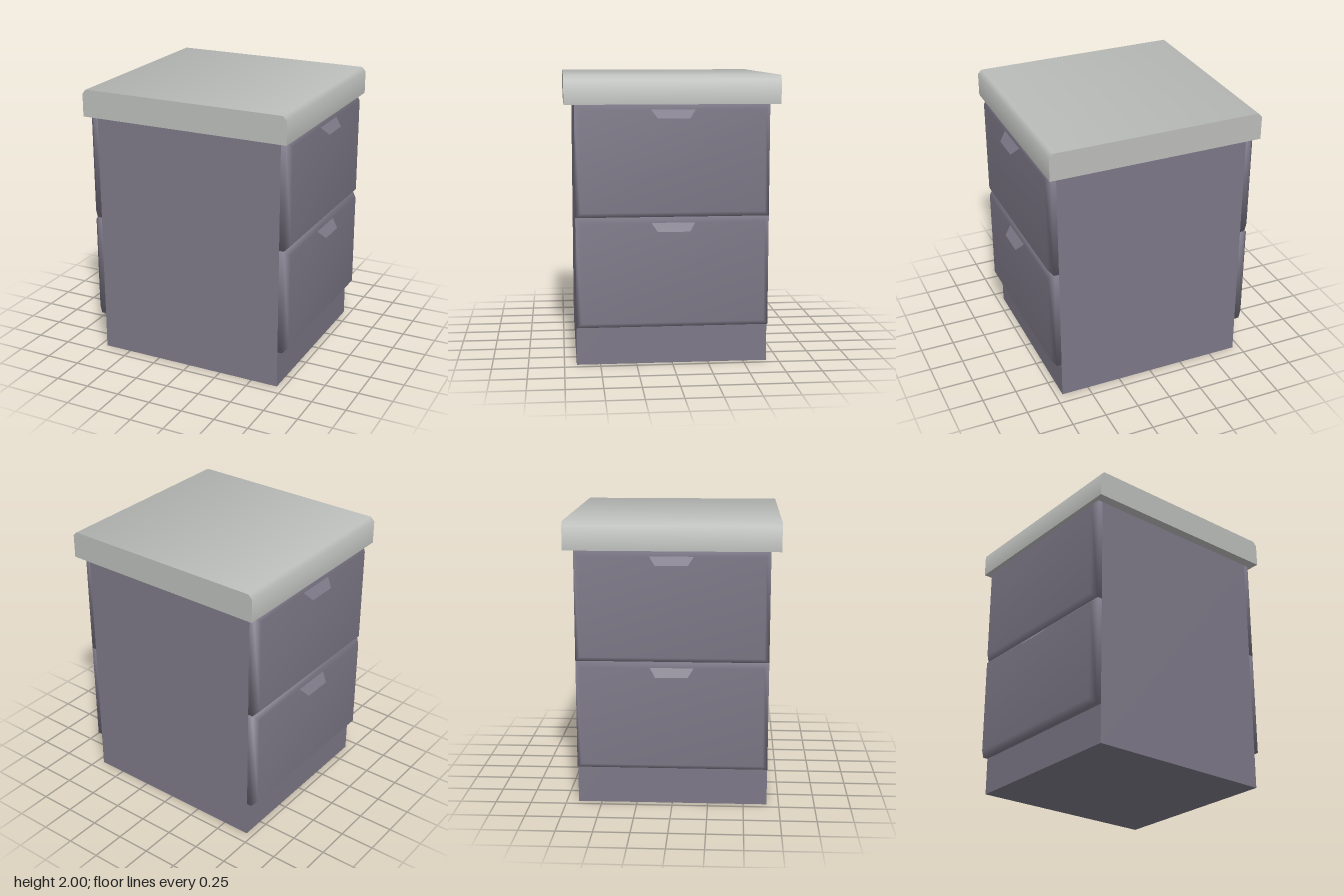
import * as THREE from 'three';

const cabinetPaint = new THREE.MeshStandardMaterial({ color: 0x7c7786 });
cabinetPaint.name = 'cabinetPaint';
const worktopGrey = new THREE.MeshStandardMaterial({ color: 0xbbbdba });
worktopGrey.name = 'worktopGrey';

function makeMesh(name, geometry, material) {
  const mesh = new THREE.Mesh(geometry, material);
  mesh.name = name;
  return mesh;
}

function makeGeometry(positions, index, normals) {
  const geo = new THREE.BufferGeometry();
  geo.setAttribute('position', new THREE.Float32BufferAttribute(positions, 3));
  geo.setIndex(index);
  if (normals) geo.setAttribute('normal', new THREE.Float32BufferAttribute(normals, 3));
  else geo.computeVertexNormals();
  return geo;
}

// Drawer front facing +x: three rectangular rings, softly shaded over the bevel
function drawerGeometry(y0, y1) {
  const bevel = 0.035, halfZ = 0.665;
  const positions = [], index = [];
  for (const [x, inset] of [[0.7, 0], [0.735, 0], [0.77, bevel]]) {
    const z = halfZ - inset, lo = y0 + inset, hi = y1 - inset;
    positions.push(x, lo, z, x, lo, -z, x, hi, -z, x, hi, z);
  }
  for (let ring = 0; ring < 2; ring++) {
    for (let i = 0; i < 4; i++) {
      const a = ring * 4 + i, b = ring * 4 + (i + 1) % 4;
      index.push(a, b, b + 4, a, b + 4, a + 4);
    }
  }
  index.push(8, 9, 10, 8, 10, 11);
  return makeGeometry(positions, index);
}

// Sloping finger pull: one thin face leaning out from the drawer
function pullGeometry(top) {
  const x0 = 0.77, x1 = 0.822, low = top - 0.055;
  return makeGeometry(
    [x0, top, 0.15, x1, low, 0.11, x1, low, -0.11, x0, top, -0.15],
    [0, 1, 2, 0, 2, 3]);
}

// Worktop: rounded-looking upper edges, flat ends and underside
function buildWorktop() {
  const group = new THREE.Group();
  group.name = 'worktop';
  const z = 0.735;
  const right = [[0.77, 1.805, 0], [0.77, 1.97, 22.5], [0.742, 2, 67.5]];
  const profile = [...right, ...right.map(([x, y, a]) => [-x, y, 180 - a]).reverse()];
  const positions = [], normals = [], index = [];
  profile.forEach(([x, y, degrees], i) => {
    const a = THREE.MathUtils.degToRad(degrees);
    for (const side of [z, -z]) {
      positions.push(x, y, side);
      normals.push(Math.cos(a), Math.sin(a), 0);
    }
    if (i > 0) {
      const p = (i - 1) * 2;
      index.push(p, p + 1, p + 3, p, p + 3, p + 2);
    }
  });
  group.add(makeMesh('worktopSurface', makeGeometry(positions, index, normals), worktopGrey));

  const endShape = new THREE.Shape(profile.map(([x, y]) => new THREE.Vector2(x, y)));
  for (const s of [1, -1]) {
    const end = makeMesh(s > 0 ? 'worktopFrontEnd' : 'worktopBackEnd',
      new THREE.ShapeGeometry(endShape), worktopGrey);
    end.position.z = s * z;
    if (s < 0) end.rotation.y = Math.PI;
    group.add(end);
  }
  const underside = makeMesh('worktopUnderside', new THREE.PlaneGeometry(1.54, z * 2), worktopGrey);
  underside.rotation.x = Math.PI / 2;
  underside.position.y = 1.805;
  group.add(underside);
  return group;
}

export function createModel() {
  const model = new THREE.Group();
  model.name = 'drawerCabinet';

  // Cabinet body with plinth
  const body = makeMesh('cabinetBody', new THREE.BoxGeometry(1.4, 1.805, 1.33), cabinetPaint);
  body.position.y = 0.9025;
  model.add(body);

  // Two drawers on each side
  for (const [side, turn] of [['left', 0], ['right', Math.PI]]) {
    const bank = new THREE.Group();
    bank.name = side + 'Drawers';
    bank.rotation.y = turn;
    for (const [level, y0, y1] of [['Lower', 0.27, 1.037], ['Upper', 1.037, 1.805]]) {
      bank.add(makeMesh(side + level + 'Drawer', drawerGeometry(y0, y1), cabinetPaint));
      bank.add(makeMesh(side + level + 'Pull', pullGeometry(y1 - 0.035), cabinetPaint));
    }
    model.add(bank);
  }

  model.add(buildWorktop());
  return model;
}
